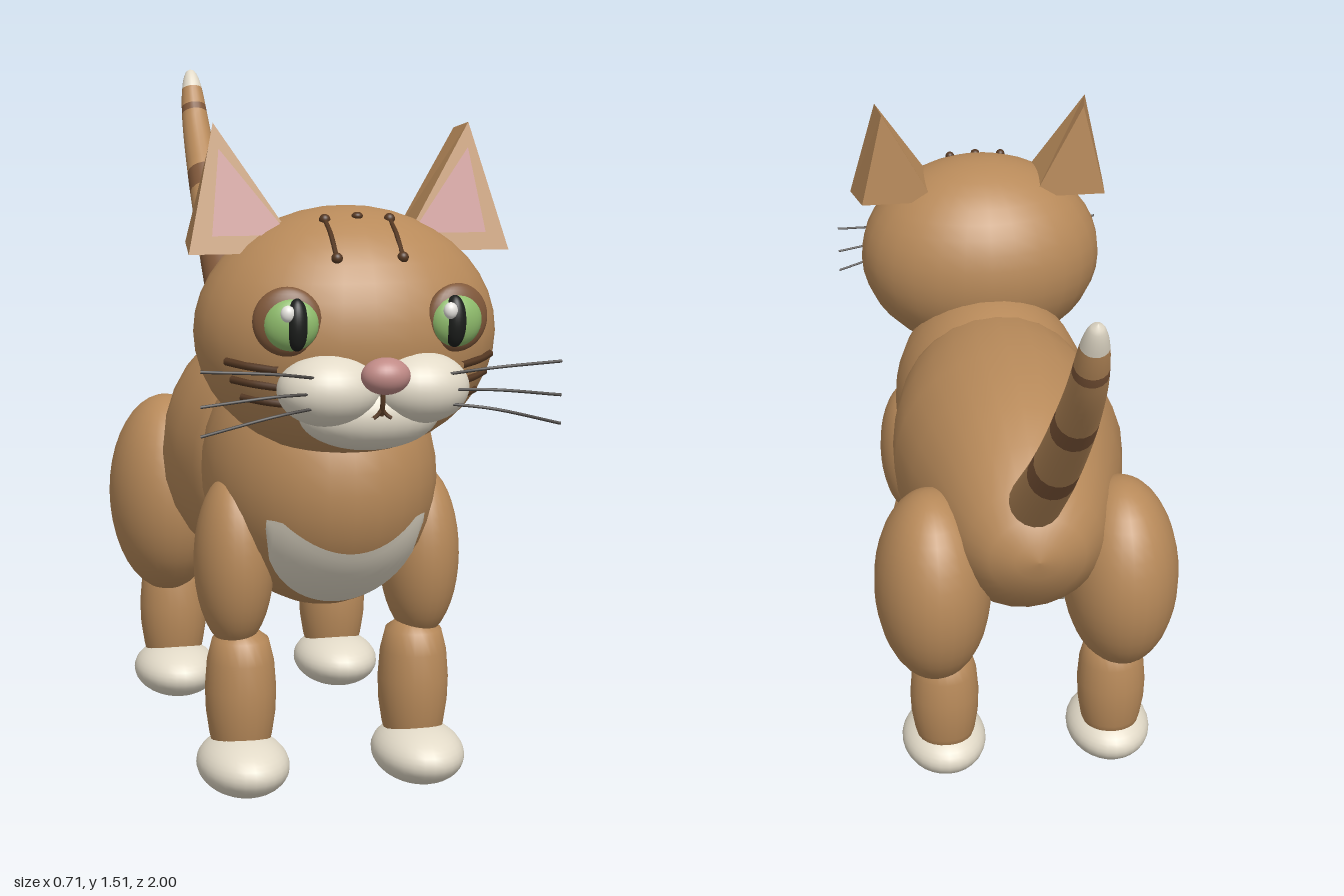
import * as THREE from 'three';

const V = (x, y, z) => new THREE.Vector3(x, y, z);
const material = (name, color, side = THREE.FrontSide) => {
  const m = new THREE.MeshStandardMaterial({ color, side });
  m.name = name;
  return m;
};

// Skin a run of elliptical rings; each ring is [centre, axisU, axisV]
function loft(rings, n = 24) {
  const pos = [], idx = [];
  rings.forEach(([c, u, v], i) => {
    for (let j = 0; j < n; j++) {
      const a = (j / n) * Math.PI * 2;
      const p = c.clone().addScaledVector(u, Math.cos(a)).addScaledVector(v, Math.sin(a));
      pos.push(p.x, p.y, p.z);
      if (i === rings.length - 1) continue;
      const k = (j + 1) % n, r = i * n, s = r + n;
      idx.push(r + j, r + k, s + k, r + j, s + k, s + j);
    }
  });
  const g = new THREE.BufferGeometry();
  g.setAttribute('position', new THREE.Float32BufferAttribute(pos, 3));
  g.setIndex(idx);
  g.computeVertexNormals();
  return g;
}

export function createModel() {
  const model = new THREE.Group();
  model.name = 'cat';
  const fur = material('fur', 0xb88a5a);
  const stripe = material('stripe', 0x80583a);
  const cream = material('cream', 0xe2dac8, THREE.DoubleSide);
  const pink = material('pink', 0xc08a86, THREE.DoubleSide);
  const green = material('eyeGreen', 0x8fbc6c);
  const black = material('black', 0x1c1e1c);
  const dark = material('markings', 0x553822);
  const whiskerGrey = material('whiskerGrey', 0x45413e);
  const white = material('white', 0xf4f2ec);

  const add = (name, geometry, mat, parent = model) => {
    const m = new THREE.Mesh(geometry, mat);
    m.name = name;
    parent.add(m);
    return m;
  };
  const ball = (name, mat, c, r, parent = model) => {
    const m = add(name, new THREE.SphereGeometry(1, 28, 20), mat, parent);
    m.position.set(...c);
    m.scale.set(...r);
    return m;
  };
  const tube = (name, mat, points, r) =>
    add(name, new THREE.TubeGeometry(new THREE.CatmullRomCurve3(points), 10, r, 6), mat);

  // Torso: z, bottom, top, half width
  const torso = [
    [-0.362, 0.655, 0.655, 0], [-0.355, 0.61, 0.70, 0.055], [-0.33, 0.55, 0.75, 0.11],
    [-0.28, 0.495, 0.805, 0.155], [-0.2, 0.44, 0.862, 0.193], [-0.1, 0.395, 0.908, 0.225],
    [0, 0.37, 0.933, 0.253], [0.13, 0.36, 0.945, 0.278], [0.25, 0.367, 0.943, 0.271],
    [0.35, 0.385, 0.932, 0.252], [0.43, 0.405, 0.915, 0.228], [0.5, 0.5, 0.8, 0.12], [0.51, 0.65, 0.65, 0],
  ];
  add('torso', loft(torso.map(([z, b, t, w]) =>
    [V(0, (b + t) / 2, z), V(w, 0, 0), V(0, (t - b) / 2, 0)]), 28), fur);

  // Chest and its cream bib, a thin patch following the chest surface
  const chest = [0.245, 0.285, 0.32], chestY = 0.66, chestZ = 0.45;
  ball('chest', fur, [0, chestY, chestZ], chest);
  const bib = new THREE.PlaneGeometry(2, 1, 24, 8);
  const bp = bib.attributes.position;
  for (let i = 0; i < bp.count; i++) {
    const s = bp.getX(i), t = bp.getY(i) + 0.5;
    const low = 0.585 - 0.175 * Math.sqrt(Math.max(0, 1 - s * s));
    const high = 0.54 + 0.065 * Math.min(1, (s / 0.85) ** 2);
    const x = s * 0.165, y = low + (high - low) * t;
    const k = 1 - (x / chest[0]) ** 2 - ((y - chestY) / chest[1]) ** 2;
    bp.setXYZ(i, x, y, chestZ + 0.008 + chest[2] * Math.sqrt(Math.max(0, k)));
  }
  bib.computeVertexNormals();
  add('bib', bib, cream);

  // Legs
  const shin = new THREE.LatheGeometry([[0, 0.08], [0.06, 0.08], [0.071, 0.12], [0.079, 0.17],
    [0.081, 0.22], [0.076, 0.28], [0.064, 0.325], [0.035, 0.345], [0, 0.35]]
    .map(([x, y]) => new THREE.Vector2(x, y)), 24);
  for (const s of [1, -1]) {
    ball('shoulder', fur, [s * 0.2, 0.49, 0.535], [0.083, 0.185, 0.105]);
    const foreleg = add('frontLeg', shin, fur);
    foreleg.position.set(s * 0.188, 0, 0.542);
    foreleg.scale.x = 0.92;
    ball('frontPaw', cream, [s * 0.19, 0.065, 0.573], [0.096, 0.063, 0.133]);
    ball('thigh', fur, [s * 0.22, 0.5, -0.163], [0.135, 0.237, 0.18]);
    add('backLeg', shin, fur).position.set(s * 0.2, 0, -0.188);
    ball('backPaw', cream, [s * 0.2, 0.065, -0.155], [0.1, 0.063, 0.133]);
  }

  // Tail, cut into plain and striped lengths
  const path = new THREE.CatmullRomCurve3([V(0, 0.775, -0.295), V(0, 0.995, -0.555),
    V(0, 1.22, -0.785), V(0, 1.38, -0.92), V(0, 1.515, -0.99)]);
  const tailRadius = (t) => (0.06 - 0.032 * t) * Math.sqrt(Math.max(0, 1 - t ** 14));
  const tail = new THREE.Group();
  tail.name = 'tail';
  model.add(tail);
  const ring = (t, r) => {
    const T = path.getTangent(t), U = V(1, 0, 0);
    return [path.getPoint(t), U.clone().multiplyScalar(r), T.cross(U).multiplyScalar(r)];
  };
  const cuts = [[0, fur], [0.212, stripe], [0.288, fur], [0.465, stripe], [0.53, fur],
    [0.775, stripe], [0.81, fur], [0.9, cream], [1]];
  for (let i = 0; i < cuts.length - 1; i++) {
    const a = cuts[i][0], b = cuts[i + 1][0], rings = i === 0 ? [ring(0, 0)] : [];
    if (i === 0) rings.push(ring(0, tailRadius(0)));
    for (let k = 0; k <= 8; k++) {
      const t = a + (b - a) * k / 8;
      rings.push(ring(t, tailRadius(t)));
    }
    add('tailSection', loft(rings, 18), cuts[i][1], tail);
  }

  // Head
  const headC = [0, 0.98, 0.665], headR = [0.305, 0.25, 0.25];
  ball('head', fur, headC, headR);
  const headX = (y, z) => headR[0] * Math.sqrt(1 - ((y - headC[1]) / headR[1]) ** 2 - ((z - headC[2]) / headR[2]) ** 2);
  const headY = (x, z) => headC[1] + headR[1] * Math.sqrt(1 - (x / headR[0]) ** 2 - ((z - headC[2]) / headR[2]) ** 2);

  // Ears: wedge with a triangle at the front and a smaller one behind
  const front = [[0.098, 1.14, 0.715], [0.325, 1.14, 0.715], [0.262, 1.392, 0.64]];
  const back = [[0.125, 1.155, 0.57], [0.305, 1.155, 0.57], [0.25, 1.38, 0.582]];
  const lining = [[0.125, 1.175, 0.711], [0.278, 1.175, 0.711], [0.255, 1.342, 0.661]];
  const faces = (tris, s) => {
    const g = new THREE.BufferGeometry();
    const pts = tris.flatMap((t) => (s > 0 ? t : [...t].reverse())).flatMap(([x, y, z]) => [s * x, y, z]);
    g.setAttribute('position', new THREE.Float32BufferAttribute(pts, 3));
    g.computeVertexNormals();
    return g;
  };
  for (const s of [1, -1]) {
    const tris = [front, [back[2], back[1], back[0]]];
    for (let i = 0; i < 3; i++) {
      const j = (i + 1) % 3;
      tris.push([front[i], back[i], back[j]], [front[i], back[j], front[j]]);
    }
    add('ear', faces(tris, s), fur);
    add('earLining', faces([lining], s), pink);
  }

  // Eyes
  for (const s of [1, -1]) {
    const eye = new THREE.Group();
    eye.name = 'eye';
    eye.position.set(s * 0.167, 1.02, 0.872);
    eye.rotation.y = s * 0.22;
    model.add(eye);
    ball('eyelid', stripe, [0, 0.004, 0], [0.066, 0.066, 0.026], eye);
    ball('iris', green, [-s * 0.006, 0, 0.006], [0.054, 0.052, 0.034], eye);
    ball('pupil', black, [-s * 0.018, 0, 0.022], [0.022, 0.05, 0.025], eye);
    ball('eyeGlint', white, [-s * 0.018 - 0.017, 0.022, 0.036], [0.014, 0.016, 0.012], eye);
  }

  // Muzzle, chin, nose and mouth
  for (const s of [1, -1]) ball('muzzle', cream, [s * 0.088, 0.893, 0.88], [0.1, 0.07, 0.085]);
  ball('chin', cream, [0, 0.842, 0.85], [0.14, 0.072, 0.085]);
  ball('nose', pink, [0, 0.928, 0.963], [0.047, 0.035, 0.037]);
  tube('mouth', dark, [V(0, 0.9, 0.945), V(0, 0.875, 0.945), V(0, 0.85, 0.935)], 0.005);
  for (const s of [1, -1])
    tube('mouthCorner', dark, [V(0, 0.863, 0.94), V(s * 0.008, 0.852, 0.94), V(s * 0.018, 0.845, 0.942)], 0.004);

  // Whiskers, cheek stripes and forehead marks
  for (const s of [1, -1]) {
    for (const [y0, y1] of [[0.925, 0.945], [0.895, 0.88], [0.868, 0.825]]) {
      tube('whisker', whiskerGrey, [V(s * 0.13, y0, 0.94), V(s * 0.21, (y0 * 2 + y1) / 3 + 0.006, 0.965),
        V(s * 0.35, y1, 0.955)], 0.003);
    }
    for (const y of [0.94, 0.905, 0.87]) {
      const pts = [0.86, 0.82, 0.78].map((z, i) => V(s * headX(y - 0.01 + i * 0.005, z), y - 0.01 + i * 0.005, z));
      tube('cheekStripe', dark, pts, 0.008);
    }
    const mark = [0.755, 0.8, 0.85].map((z) => V(s * 0.065, headY(0.065, z), z));
    tube('foreheadMark', dark, mark, 0.005);
    for (const p of [mark[0], mark[2]]) ball('foreheadSpot', dark, p.toArray(), [0.011, 0.011, 0.011]);
  }
  ball('crownSpot', dark, [0, headY(0, 0.755), 0.755], [0.011, 0.008, 0.011]);

  return model;
}
